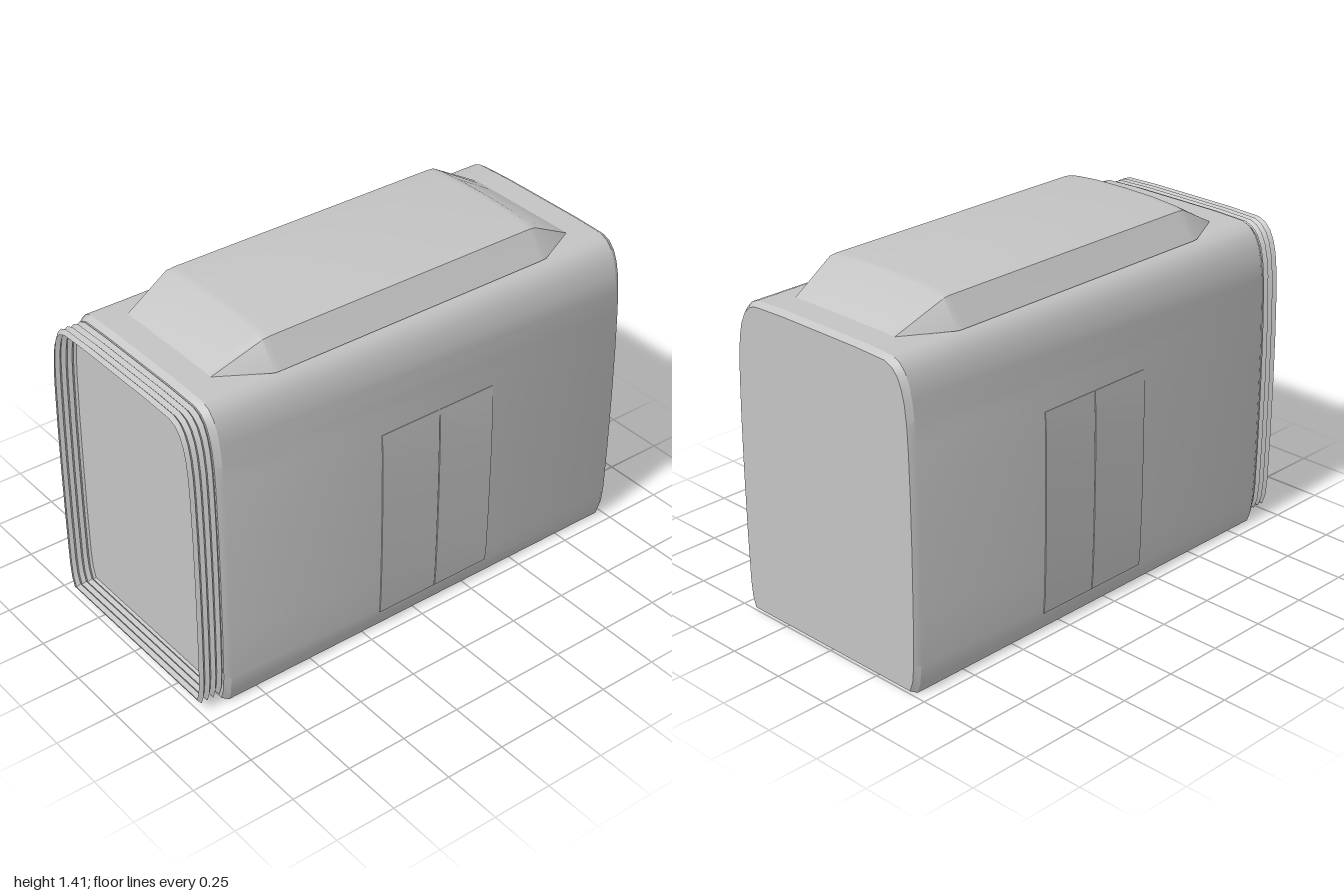
import * as THREE from 'three';
import { toCreasedNormals } from 'three/addons/utils/BufferGeometryUtils.js';

// Right half of the body section, bottom to top: [half width, height 0..1]
const HALF = [
  [0.44, 0], [0.455, 0.035], [0.462, 0.09], [0.466, 0.25], [0.467, 0.45], [0.465, 0.62],
  [0.46, 0.76], [0.455, 0.83], [0.445, 0.89], [0.432, 0.93], [0.412, 0.963],
  [0.385, 0.985], [0.35, 0.996], [0.2, 1],
];

// Full section at depth z, scaled in width and fitted between two heights
function section(z, s, y0, y1) {
  const right = HALF.map(([x, t]) => [x * s, y0 + (y1 - y0) * t, z]);
  const left = right.map(([x, y]) => [-x, y, z]).reverse();
  return [...right, ...left];
}

// Skin through closed counter-clockwise sections running from back to front
function loft(rings, crease) {
  const n = rings[0].length;
  const index = [];
  for (let i = 0; i < rings.length - 1; i++) {
    for (let j = 0; j < n; j++) {
      const a = i * n + j, b = i * n + (j + 1) % n;
      index.push(a, b, b + n, a, b + n, a + n);
    }
  }
  const g = new THREE.BufferGeometry();
  g.setAttribute('position', new THREE.Float32BufferAttribute(rings.flat(2), 3));
  g.setIndex(index);
  return toCreasedNormals(g, crease);
}

// Body half width at a given height
function widthAt(y) {
  const t = y / 1.285;
  const k = Math.max(1, HALF.findIndex(p => p[1] >= t));
  const [a, b] = [HALF[k - 1], HALF[k]];
  return a[0] + (b[0] - a[0]) * (t - a[1]) / (b[1] - a[1]);
}

export function createModel() {
  const group = new THREE.Group();
  const grey = new THREE.MeshStandardMaterial({ color: 0xc4c4c4 });
  grey.name = 'grey';
  const greyOpen = grey.clone();
  greyOpen.name = 'grey';
  greyOpen.side = THREE.DoubleSide;

  function add(name, geometry, material = grey) {
    const mesh = new THREE.Mesh(geometry, material);
    mesh.name = name;
    group.add(mesh);
  }

  // Carriage body with bevelled, capped ends
  add('body', loft([
    section(-1, 0, 0.64, 0.64),
    section(-1, 0.972, 0.012, 1.27),
    section(-0.975, 1, 0, 1.285),
    section(0.875, 1, 0, 1.285),
    section(0.9, 0.972, 0.012, 1.27),
    section(0.9, 0, 0.64, 0.64),
  ], 0.5));

  // Open folded gangway at the front
  const folds = [];
  for (let i = 0; i <= 8; i++) {
    const out = i % 2 === 1;
    folds.push(section(0.895 + i * 0.105 / 8, out ? 0.97 : 0.945, out ? 0.032 : 0.048, out ? 1.272 : 1.256));
  }
  add('gangwayBellows', loft(folds, 0.5), greyOpen);

  // Roof unit with sloping ends
  const arch = (z, w, shoulder, rise) => {
    const pts = [[w, 0], [shoulder, 0.104], [shoulder * 0.85, 0.112], [0.15, 0.12], [0, 0.123]];
    const right = pts.map(([x, y]) => [x, 1.283 + y * rise, z]);
    return [...right, ...right.slice(0, -1).map(([x, y]) => [-x, y, z]).reverse()];
  };
  add('roofUnit', loft([
    arch(-0.87, 0.27, 0.25, 0.01),
    arch(-0.68, 0.365, 0.295, 0.97),
    arch(-0.65, 0.367, 0.295, 1),
    arch(0.55, 0.367, 0.295, 1),
    arch(0.58, 0.365, 0.295, 0.97),
    arch(0.77, 0.27, 0.25, 0.01),
  ], 0.7));

  // Pairs of thin door leaves following the side curve
  const heights = [0.075, 0.15, 0.32, 0.58, 0.8, 0.9];
  for (const side of [1, -1]) {
    for (const [z0, z1] of [[-0.35, -0.092], [-0.088, 0.18]]) {
      const ring = z => {
        const outer = heights.map(y => [side * (widthAt(y) + (y < 0.85 ? 0.005 : 0.002)), y, z]);
        const inner = heights.map(y => [side * (widthAt(y) - 0.003), y, z]).reverse();
        const loop = [...outer, ...inner];
        return side > 0 ? loop : loop.reverse();
      };
      const flat = z => ring(z).map(() => [side * 0.462, 0.5, z]);
      add(side > 0 ? 'leftDoorLeaf' : 'rightDoorLeaf', loft([flat(z0), ring(z0), ring(z1), flat(z1)], 0.5));
    }
  }
  return group;
}
